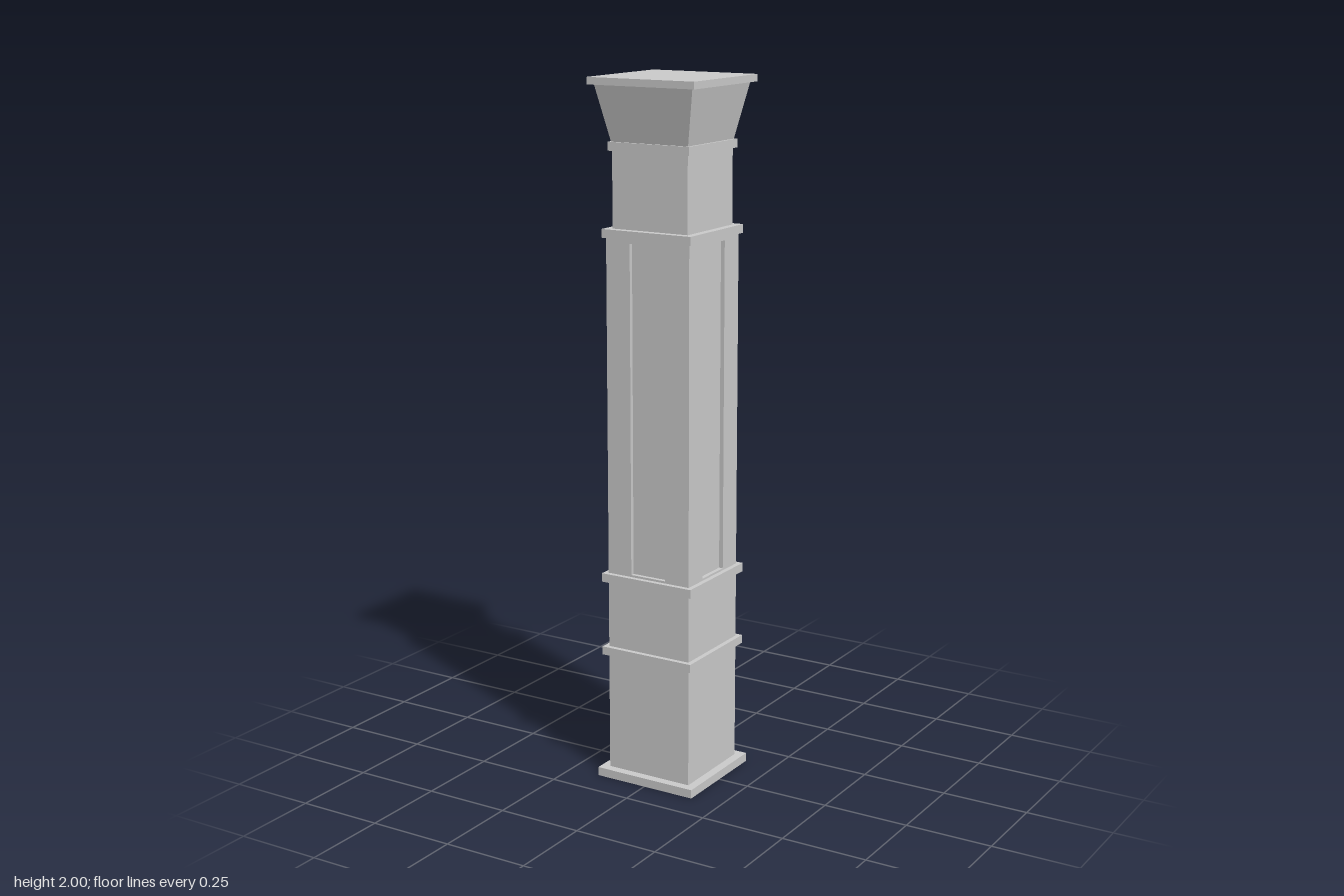
import * as THREE from 'three';

const material = new THREE.MeshStandardMaterial({ color: 0xcccccc });

export function createModel() {
  const column = new THREE.Group();
  column.name = 'column';

  const add = (name, geometry) => {
    const mesh = new THREE.Mesh(geometry, material);
    mesh.name = name;
    column.add(mesh);
    return mesh;
  };

  // Square block from y0 to y1, given by its half width
  const block = (name, half, y0, y1) => {
    add(name, new THREE.BoxGeometry(half * 2, y1 - y0, half * 2)).position.y = (y0 + y1) / 2;
  };

  // Base and pedestal
  block('basePlinth', 0.157, 0, 0.025);
  block('pedestal', 0.132, 0.025, 0.37);
  block('lowerBand', 0.146, 0.37, 0.394);
  block('pedestalUpper', 0.132, 0.394, 0.588);
  block('middleBand', 0.146, 0.588, 0.613);

  // Shaft: plain ends, and a notched section forming a sunken panel on each side
  const half = 0.132, panel = 0.056, depth = 0.012;
  const panelBottom = 0.619, panelTop = 1.557;
  block('shaftFoot', half, 0.613, panelBottom);
  const corners = [];
  for (let i = 0; i < 4; i++) {
    const side = [[-half, -half], [-panel, -half], [-panel, depth - half],
      [panel, depth - half], [panel, -half]];
    for (const [x, y] of side) {
      corners.push(new THREE.Vector2(x, y).rotateAround(new THREE.Vector2(), i * Math.PI / 2));
    }
  }
  const shaft = new THREE.ExtrudeGeometry(new THREE.Shape(corners),
    { depth: panelTop - panelBottom, bevelEnabled: false });
  shaft.rotateX(-Math.PI / 2);
  add('panelledShaft', shaft).position.y = panelBottom;
  block('shaftHead', half, panelTop, 1.568);

  // Neck
  block('upperBand', 0.141, 1.568, 1.592);
  block('neck', 0.119, 1.592, 1.803);
  block('neckBand', 0.128, 1.803, 1.827);

  // Flared capital: a four-sided frustum turned square to the axes
  const capital = new THREE.CylinderGeometry(0.153 * Math.SQRT2, 0.121 * Math.SQRT2, 0.153, 4)
    .rotateY(Math.PI / 4).toNonIndexed();
  capital.computeVertexNormals();
  add('capital', capital).position.y = 1.827 + 0.153 / 2;
  block('topSlab', 0.167, 1.98, 2);

  return column;
}
